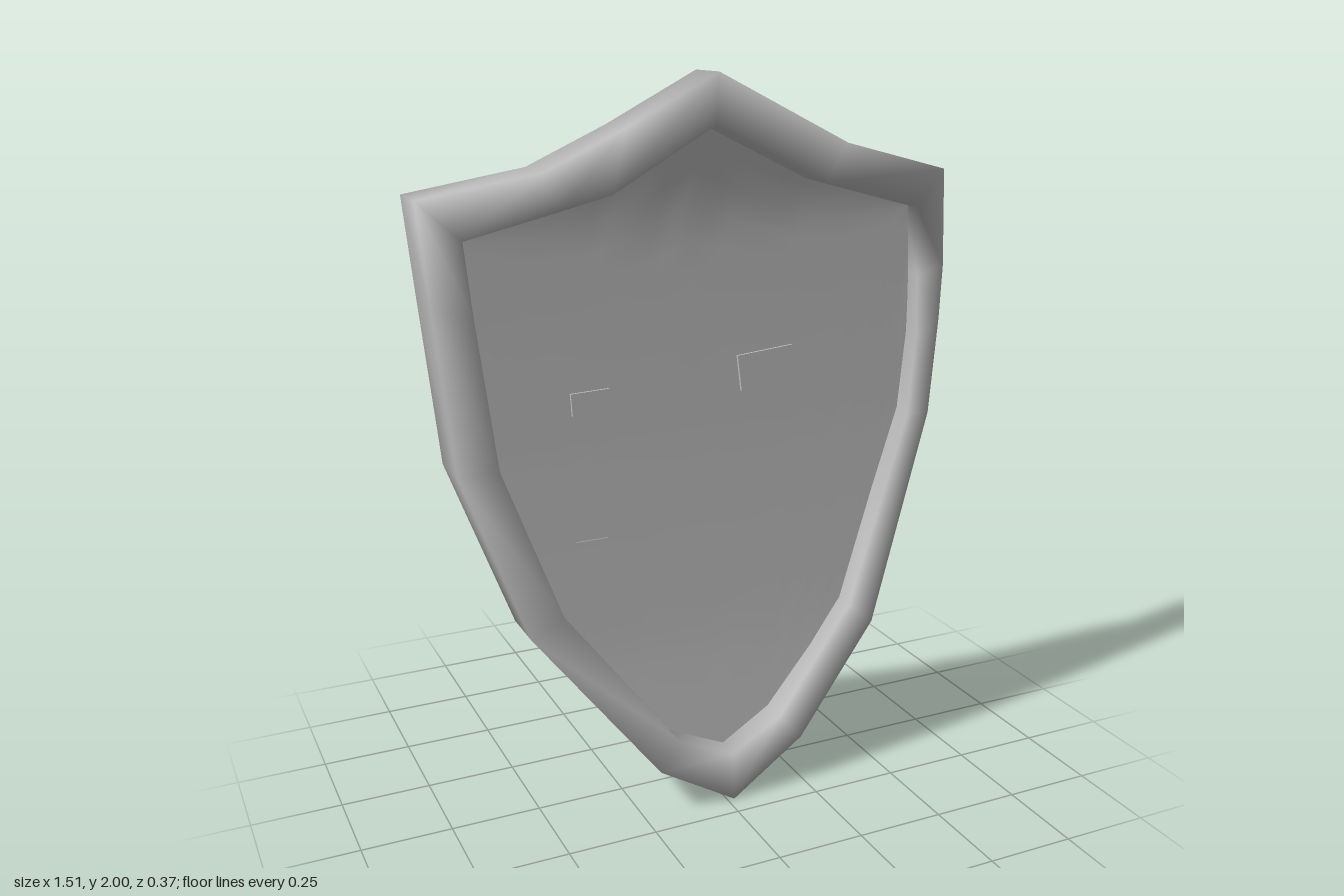
import * as THREE from 'three';

const grey = new THREE.MeshStandardMaterial({ color: 0xc0c0c0, side: THREE.DoubleSide });
grey.name = 'plain grey';

// Depth of the rim: the sides sweep back and the lower point comes forward.
const dish = (x, y) => 0.115 - 0.0475 * y - (0.13 + 0.03 * y) * x * x;

// Piecewise straight curve through [position, value] pairs
function valueAt(pairs, t) {
  let i = 1;
  while (i < pairs.length - 1 && t > pairs[i][0]) i++;
  const [t0, v0] = pairs[i - 1], [t1, v1] = pairs[i];
  return THREE.MathUtils.mapLinear(t, t0, t1, v0, v1);
}

// Depth of the panel by height: stretched straight across between the sides of the rim
const panelProfile = [[0.08, 0.118], [0.2, 0.098], [0.45, 0.058], [0.75, 0.024], [1.03, -0.004],
  [1.35, -0.028], [1.62, -0.045], [1.72, -0.034], [1.93, 0.0]];
const panelDepth = (y) => valueAt(panelProfile, y);

// Skins a row of four-cornered cross-sections, as a closed ring or with capped ends.
function loft(name, sections, closed) {
  const n = sections.length, index = [];
  const id = (i, k) => (i % n) * 4 + (k % 4);
  for (let i = 0; i < (closed ? n : n - 1); i++) {
    for (let k = 0; k < 4; k++) {
      index.push(id(i, k), id(i, k + 1), id(i + 1, k), id(i, k + 1), id(i + 1, k + 1), id(i + 1, k));
    }
  }
  if (!closed) {
    const e = (n - 1) * 4;
    index.push(0, 2, 1, 0, 3, 2, e, e + 1, e + 2, e, e + 2, e + 3);
  }
  const geometry = new THREE.BufferGeometry();
  geometry.setAttribute('position', new THREE.Float32BufferAttribute(sections.flat(2), 3));
  geometry.setIndex(index);
  geometry.computeVertexNormals();
  const mesh = new THREE.Mesh(geometry, grey);
  mesh.name = name;
  return mesh;
}

// Border: outer x, y and inner x, y, from the top peak round to the point and back.
const border = [
  [0.01, 2.0, 0.0, 1.87], [-0.24, 1.87, -0.28, 1.71], [-0.45, 1.77, -0.41, 1.675],
  [-0.755, 1.71, -0.65, 1.61], [-0.735, 1.45, -0.635, 1.42], [-0.7, 1.02, -0.595, 1.03],
  [-0.54, 0.57, -0.45, 0.62], [-0.2, 0.13, -0.14, 0.21], [0.02, 0.0, 0.02, 0.14],
  [0.24, 0.14, 0.17, 0.22], [0.49, 0.44, 0.41, 0.51], [0.7, 1.03, 0.62, 1.04],
  [0.74, 1.3, 0.65, 1.25], [0.755, 1.45, 0.655, 1.43], [0.755, 1.72, 0.65, 1.62],
  [0.4, 1.81, 0.33, 1.71],
];

// The back edge of the rim is slimmer on the left side.
function makeRim() {
  const half = 0.07;
  return loft('rim', border.map(([ox, oy, ix, iy]) => {
    const zo = dish(ox, oy), zi = dish(ix, iy), slim = ox > 0.45 ? 0.3 : 0;
    const bx = THREE.MathUtils.lerp(ix, ox, slim), by = THREE.MathUtils.lerp(iy, oy, slim);
    return [[ox, oy, zo + half], [ox, oy, zo - half], [bx, by, zi - half], [ix, iy, zi + half]];
  }), true);
}

// Thin panel whose edges are hidden inside the rim
function makePanel() {
  const upper = [[-0.68, 1.65], [-0.3, 1.75], [0, 1.93], [0.3, 1.77], [0.68, 1.66]];
  const lower = [[-0.68, 1.5], [-0.64, 1.02], [-0.5, 0.6], [-0.17, 0.17], [0.02, 0.08],
    [0.2, 0.18], [0.45, 0.47], [0.65, 1.03], [0.68, 1.4]];
  const geometry = new THREE.PlaneGeometry(1.36, 1, 46, 20);
  const p = geometry.attributes.position;
  for (let i = 0; i < p.count; i++) {
    const x = p.getX(i);
    const y = THREE.MathUtils.lerp(valueAt(lower, x), valueAt(upper, x), p.getY(i) + 0.5);
    p.setXYZ(i, x, y, panelDepth(y));
  }
  geometry.computeVertexNormals();
  const mesh = new THREE.Mesh(geometry, grey);
  mesh.name = 'panel';
  return mesh;
}

// Bent band behind the panel; each path point is centre x, y, z.
function makeStrap(name, width, path) {
  const t = 0.008;
  return loft(name, path.map(([x, y, z], i) => {
    const a = path[Math.max(i - 1, 0)], b = path[Math.min(i + 1, path.length - 1)];
    const dy = b[1] - a[1], dz = b[2] - a[2], len = Math.hypot(dy, dz);
    const ny = (dz / len) * t, nz = (-dy / len) * t, w = width / 2;
    return [[x + w, y - ny, z - nz], [x + w, y + ny, z + nz],
      [x - w, y + ny, z + nz], [x - w, y - ny, z - nz]];
  }), false);
}

// Strap end showing through the front of the panel
function makeTab(name, w, h, x, y, tilt) {
  const mesh = new THREE.Mesh(new THREE.BoxGeometry(w, h, 0.009), grey);
  mesh.position.set(x, y, panelDepth(y) + 0.008);
  mesh.rotation.set(-0.08, 0, tilt);
  mesh.name = name;
  return mesh;
}

export function createModel() {
  const model = new THREE.Group();
  model.name = 'shield';
  model.add(makePanel(), makeRim());
  model.add(makeStrap('leftStrap', 0.15, [
    [0.205, 1.19, -0.015], [0.21, 1.15, -0.08], [0.21, 1.1, -0.14], [0.205, 0.99, -0.178],
    [0.2, 0.88, -0.11], [0.2, 0.8, -0.035], [0.2, 0.71, 0.0]]));
  model.add(makeStrap('rightStrap', 0.09, [
    [-0.31, 1.15, -0.01], [-0.31, 1.13, -0.05], [-0.305, 1.08, -0.1], [-0.305, 0.98, -0.128],
    [-0.31, 0.89, -0.08], [-0.32, 0.83, -0.02], [-0.33, 0.78, 0.015]]));
  model.add(makeTab('leftStrapTab', 0.17, 0.1, 0.205, 1.2, 0.09));
  model.add(makeTab('rightStrapTab', 0.11, 0.06, -0.315, 1.16, 0.04));
  return model;
}
